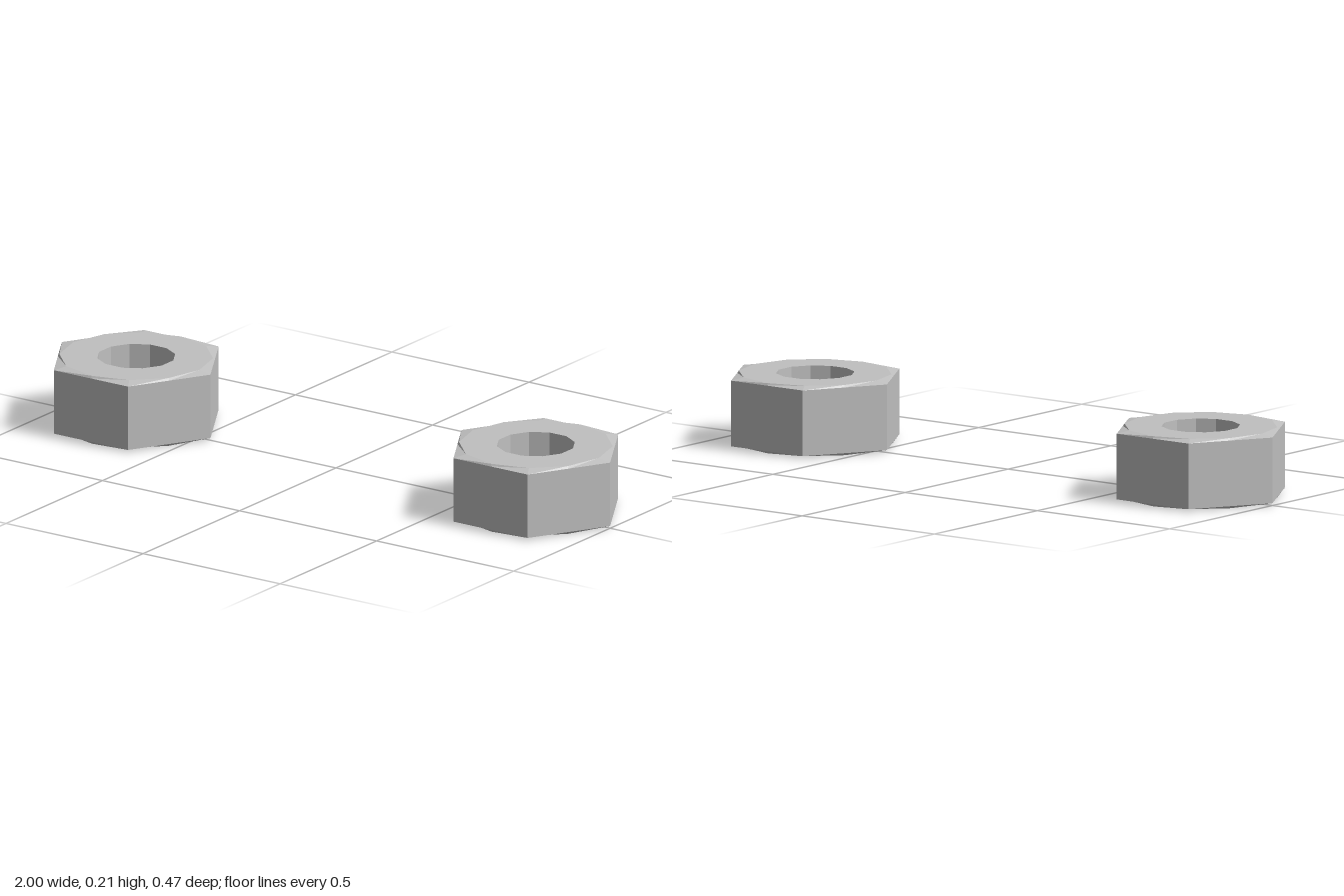
import * as THREE from 'three';

const SIDES = 12;
const HEIGHT = 0.213, CHAMFER = 0.007;
const CORNER = 0.271, FLAT = CORNER * Math.cos(Math.PI / 6);
const CROWN = 0.23, BORE = 0.118;

// Each ring gives 12 points; the hexagon uses its corners and the middles of its flats.
const bore = (y) => ({ y, turn: 0.5, radius: () => BORE });
const crown = (y) => ({ y, turn: 0, radius: () => CROWN });
const hexagon = (y) => ({ y, turn: 0, radius: (i) => (i % 2 ? FLAT : CORNER) });

function nutGeometry() {
  // Closed cross-section: underside, chamfer, flats, chamfer, top, then down the bore
  const rings = [
    bore(0), crown(0), hexagon(CHAMFER),
    hexagon(HEIGHT - CHAMFER), crown(HEIGHT), bore(HEIGHT),
  ];
  const positions = [];
  const index = [];
  for (const ring of rings) {
    for (let i = 0; i < SIDES; i++) {
      const a = ((i + ring.turn) / SIDES) * Math.PI * 2;
      const r = ring.radius(i);
      positions.push(r * Math.cos(a), ring.y, r * Math.sin(a));
    }
  }
  for (let j = 0; j < rings.length; j++) {
    const k = (j + 1) % rings.length;
    for (let i = 0; i < SIDES; i++) {
      const n = (i + 1) % SIDES;
      const a = j * SIDES + i, b = k * SIDES + i;
      const c = j * SIDES + n, d = k * SIDES + n;
      index.push(a, b, c, c, b, d);
    }
  }
  const indexed = new THREE.BufferGeometry();
  indexed.setAttribute('position', new THREE.Float32BufferAttribute(positions, 3));
  indexed.setIndex(index);
  const geometry = indexed.toNonIndexed(); // separate faces for crisp facets
  geometry.computeVertexNormals();
  return geometry;
}

export function createModel() {
  const group = new THREE.Group();
  group.name = 'hexNutPair';
  const steel = new THREE.MeshStandardMaterial({ color: 0xc0c0c0 });
  steel.name = 'steel';
  const geometry = nutGeometry();

  // Two identical nuts, one on each side
  for (const [name, side] of [['leftNut', 1], ['rightNut', -1]]) {
    const nut = new THREE.Mesh(geometry, steel);
    nut.name = name;
    nut.position.x = side * (1 - CORNER);
    group.add(nut);
  }
  return group;
}
